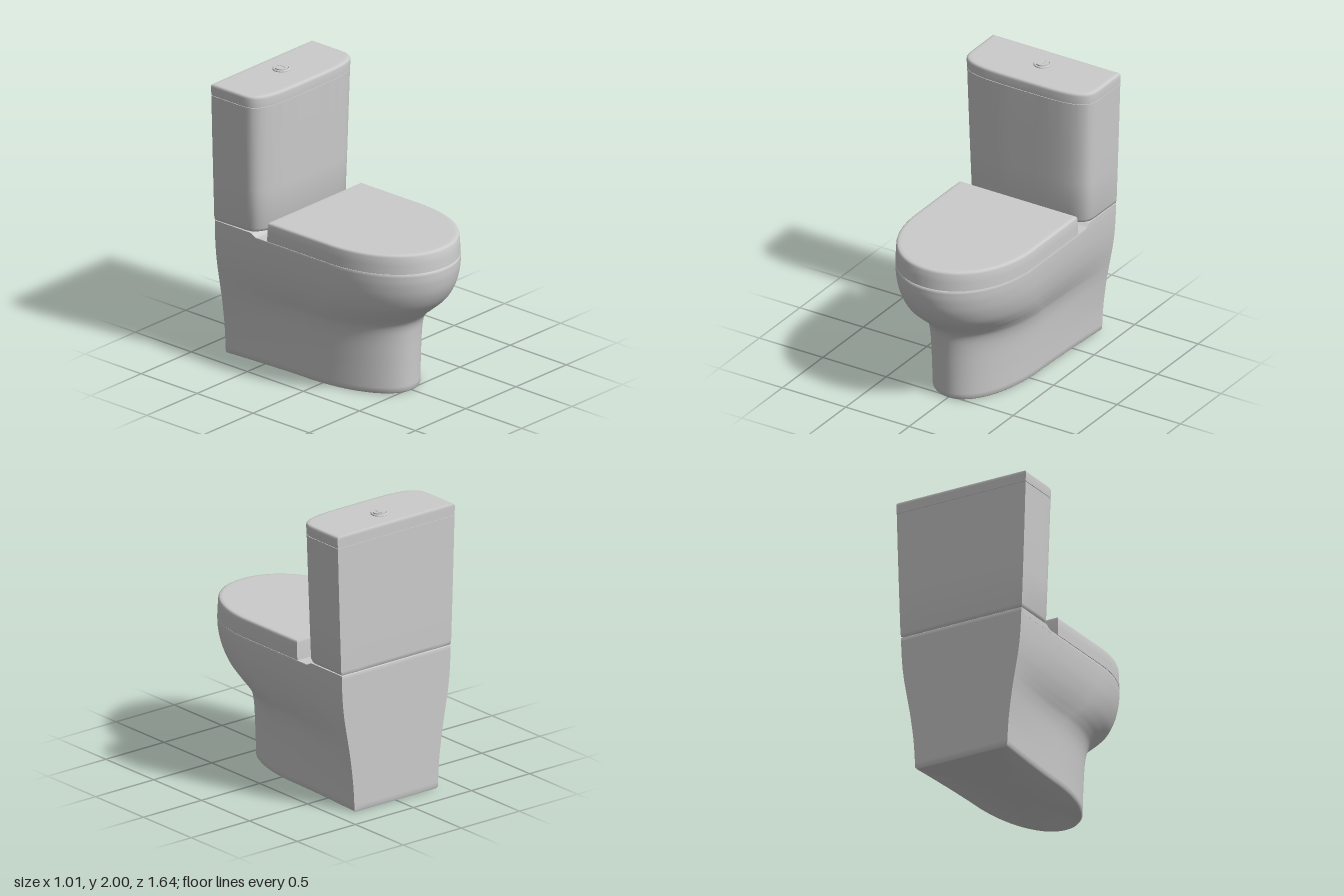
import * as THREE from 'three';
import { toCreasedNormals } from 'three/addons/utils/BufferGeometryUtils.js';

const BACK = -0.82;
const material = new THREE.MeshStandardMaterial({ color: 0xcccccc, roughness: 0.5 });

function part(name, geometry, parent) {
  const mesh = new THREE.Mesh(geometry, material);
  mesh.name = name;
  parent.add(mesh);
}

// D-shaped plan outline: square back corners, sides running to a shoulder, rounded nose.
function outline(front, shoulderZ, shoulderW, backW, back, n) {
  const half = [];
  for (let i = 0; i < 4; i++) half.push([backW * i / 4, back]);
  for (let i = 0; i < 14; i++) {
    const t = 1 - i / 14;
    half.push([shoulderW + (backW - shoulderW) * t ** 1.5, shoulderZ + (back - shoulderZ) * t]);
  }
  for (let i = 0; i <= 32; i++) {
    const t = i / 32, a = Math.PI / 2 * t * t * (3 - 2 * t);
    half.push([
      shoulderW * Math.max(0, Math.cos(a)) ** (2 / n),
      shoulderZ + (front - shoulderZ) * Math.sin(a) ** (2 / n)
    ]);
  }
  half[half.length - 1][0] = 0;
  const mirrored = half.slice(1, -1).reverse().map(([x, z]) => [-x, z]);
  return half.concat(mirrored);
}

// Rows are [y, front z, shoulder z, shoulder half width, back half width, back z].
function loft(rows, n) {
  const rings = rows.map(([y, f, sz, sw, bw, back = BACK]) =>
    outline(f, sz, sw, bw, back, n).map(([x, z]) => [x, y, z]));
  const count = rings[0].length, pos = [];
  const tri = (...pts) => pts.forEach(p => pos.push(...p));
  const middle = row => [0, row[0], (row[1] + (row[5] ?? BACK)) / 2];
  const low = rings[0], high = rings[rings.length - 1];
  const lowMid = middle(rows[0]), highMid = middle(rows[rows.length - 1]);
  for (let j = 0; j < count; j++) {
    const k = (j + 1) % count;
    for (let i = 0; i < rings.length - 1; i++) {
      const a = rings[i][j], b = rings[i][k], c = rings[i + 1][k], d = rings[i + 1][j];
      tri(b, a, d);
      tri(b, d, c);
    }
    tri(lowMid, low[j], low[k]);
    tri(highMid, high[k], high[j]);
  }
  const g = new THREE.BufferGeometry();
  g.setAttribute('position', new THREE.Float32BufferAttribute(pos, 3));
  return toCreasedNormals(g, 0.9);
}

// Smooths a few key rows into many.
function smoothRows(rows, steps) {
  const curve = pick => new THREE.CatmullRomCurve3(rows.map(pick), false, 'catmullrom', 0.5);
  const fronts = curve(r => new THREE.Vector3(r[0], r[1], r[2]));
  const widths = curve(r => new THREE.Vector3(r[0], r[3], r[4]));
  return Array.from({ length: steps + 1 }, (_, i) => {
    const p = fronts.getPoint(i / steps), q = widths.getPoint(i / steps);
    return [p.x, p.y, p.z, q.y, q.z];
  });
}

export function createModel() {
  const model = new THREE.Group();
  model.name = 'toilet';

  // Pedestal flowing up into the bulging bowl
  const bowlRows = smoothRows([
    [0.012, 0.527, -0.15, 0.325, 0.358],
    [0.20, 0.53, -0.15, 0.333, 0.37],
    [0.38, 0.535, -0.14, 0.345, 0.393],
    [0.48, 0.547, -0.10, 0.362, 0.41],
    [0.54, 0.585, -0.04, 0.383, 0.421],
    [0.60, 0.655, 0.03, 0.406, 0.432],
    [0.68, 0.74, 0.10, 0.431, 0.446],
    [0.78, 0.795, 0.15, 0.452, 0.458],
    [0.88, 0.818, 0.18, 0.463, 0.465],
    [0.958, 0.82, 0.19, 0.467, 0.468]
  ], 54);
  bowlRows.unshift([0, 0.517, -0.15, 0.315, 0.348, -0.815]);
  bowlRows.push([0.967, 0.812, 0.19, 0.465, 0.467]);
  part('bowl', loft(bowlRows, 2.1), model);

  // Raised ledge that carries the tank
  const ledge = new THREE.Shape();
  ledge.moveTo(0.82, 0.95);
  ledge.lineTo(0.82, 0.985);
  ledge.quadraticCurveTo(0.82, 0.991, 0.81, 0.991);
  ledge.lineTo(0.51, 0.991);
  ledge.bezierCurveTo(0.475, 0.991, 0.48, 0.967, 0.44, 0.967);
  ledge.lineTo(0.44, 0.95);
  const ledgeGeo = new THREE.ExtrudeGeometry(ledge, { depth: 0.936, bevelEnabled: false, curveSegments: 10 });
  ledgeGeo.translate(0, 0, -0.468).rotateY(Math.PI / 2);
  part('tankLedge', toCreasedNormals(ledgeGeo, 0.5), model);

  // Closed seat lid, softly rounded along the top edge
  part('seatLid', loft([
    [0.964, 0.805, 0.19, 0.46, 0.46, -0.35],
    [0.97, 0.805, 0.19, 0.46, 0.46, -0.35],
    [0.97, 0.816, 0.19, 0.467, 0.467, -0.354],
    [1.03, 0.812, 0.19, 0.467, 0.467, -0.351],
    [1.088, 0.805, 0.19, 0.466, 0.466, -0.347],
    [1.099, 0.8, 0.19, 0.463, 0.463, -0.346],
    [1.104, 0.792, 0.19, 0.457, 0.457, -0.344],
    [1.105, 0.77, 0.19, 0.44, 0.44, -0.33],
    [1.105, 0.74, 0.19, 0.41, 0.41, -0.3]
  ], 2.1), model);

  // Tank, widening slightly towards the top
  part('tank', loft([
    [0.992, -0.435, -0.6, 0.455, 0.46, -0.815],
    [0.998, -0.42, -0.6, 0.465, 0.468, -0.819],
    [1.02, -0.411, -0.6, 0.473, 0.473],
    [1.3, -0.404, -0.6, 0.483, 0.483],
    [1.6, -0.398, -0.6, 0.493, 0.493],
    [1.902, -0.391, -0.6, 0.502, 0.502],
    [1.902, -0.396, -0.6, 0.497, 0.497, -0.816],
    [1.908, -0.396, -0.6, 0.497, 0.497, -0.816]
  ], 4), model);

  part('tankLid', loft([
    [1.906, -0.39, -0.6, 0.502, 0.502],
    [1.965, -0.388, -0.6, 0.505, 0.505],
    [1.977, -0.39, -0.6, 0.503, 0.503],
    [1.983, -0.396, -0.6, 0.498, 0.498, -0.818],
    [1.985, -0.41, -0.6, 0.484, 0.484, -0.81],
    [1.985, -0.43, -0.6, 0.464, 0.464, -0.79]
  ], 4), model);

  // Flush button: collar ring around two unequal halves split by an arc
  const button = new THREE.Group();
  button.name = 'flushButton';
  button.position.set(0, 1.983, -0.645);
  model.add(button);
  const collar = [[0.06, 0], [0.06, 0.007], [0.056, 0.012], [0.05, 0.013], [0.047, 0.011], [0.047, 0.005], [0, 0.005]]
    .map(([r, y]) => new THREE.Vector2(r, y));
  part('buttonCollar', toCreasedNormals(new THREE.LatheGeometry(collar, 48), 0.6), button);

  const R = 0.044;
  const addHalf = (name, side, bulge) => {
    const s = new THREE.Shape();
    const x0 = side * 0.002;
    s.moveTo(x0, R);
    s.absarc(0, 0, R, Math.PI / 2, -Math.PI / 2, side > 0);
    s.quadraticCurveTo(bulge, 0, x0, R);
    const g = new THREE.ExtrudeGeometry(s, { depth: 0.013, bevelEnabled: false, curveSegments: 24 });
    g.rotateX(-Math.PI / 2).translate(0, 0.004, 0);
    part(name, toCreasedNormals(g, 0.5), button);
  };
  addHalf('fullFlushButton', -1, 0.024);
  addHalf('halfFlushButton', 1, 0.03);

  return model;
}
